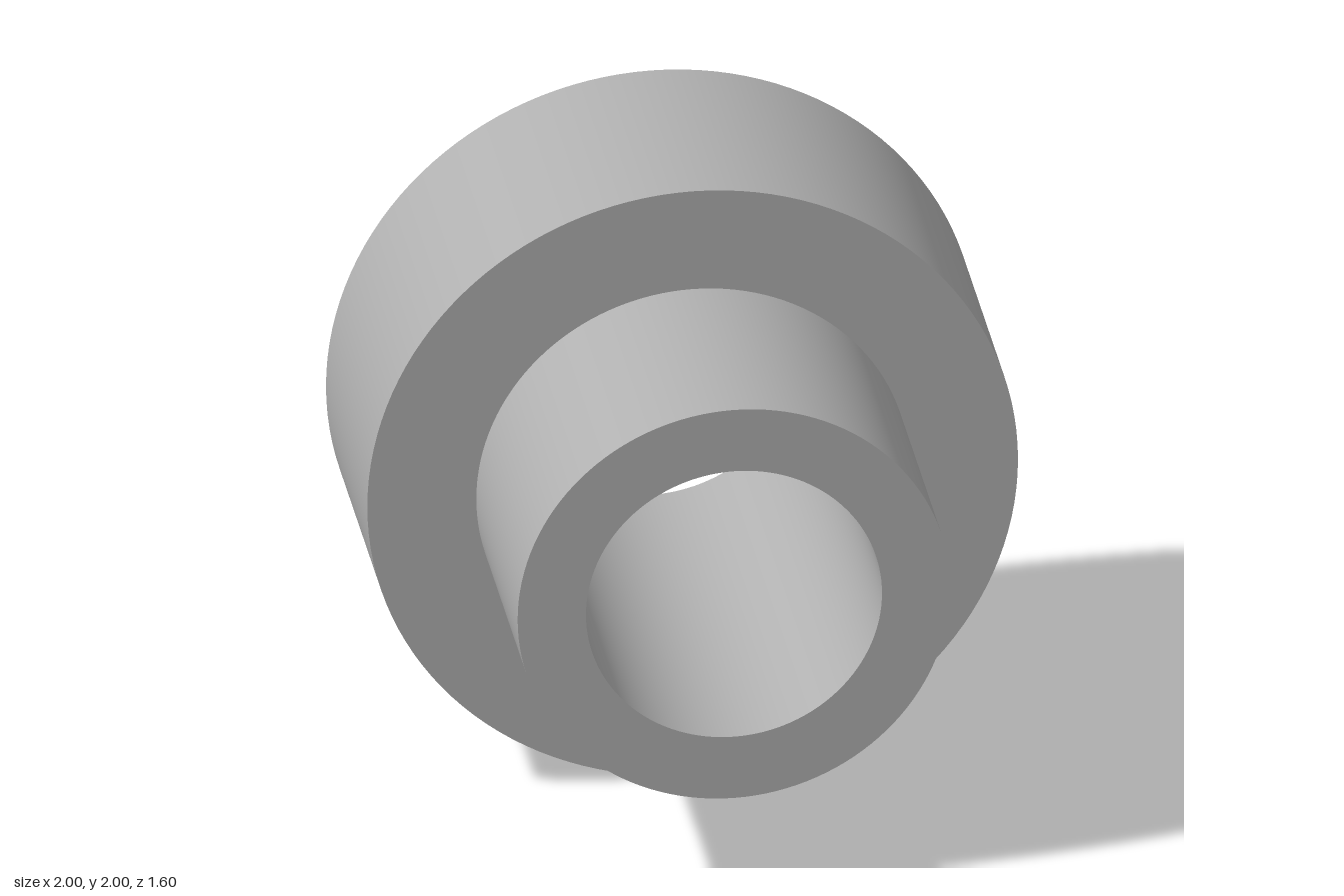
import * as THREE from 'three';
import { mergeGeometries } from 'three/addons/utils/BufferGeometryUtils.js';

const SEGMENTS = 128;
const OUTER = 1, SLEEVE = 0.665, BORE = 0.455, HALF = 0.8;

// Revolves a profile of [radius, z] points around z, keeping every corner sharp.
function revolve(profile) {
  const strips = [];
  for (let i = 0; i < profile.length - 1; i++) {
    const points = [profile[i], profile[i + 1]].map(([r, z]) => new THREE.Vector2(r, z));
    strips.push(new THREE.LatheGeometry(points, SEGMENTS));
  }
  return mergeGeometries(strips).rotateX(Math.PI / 2);
}

export function createModel() {
  const group = new THREE.Group();
  group.name = 'flangedBushing';

  const steel = new THREE.MeshStandardMaterial({ color: 0xb0b0b0 });
  steel.name = 'grey';

  const addPart = (name, profile) => {
    const mesh = new THREE.Mesh(revolve(profile), steel);
    mesh.name = name;
    mesh.position.y = OUTER;
    group.add(mesh);
  };

  // Wide rear collar: back face, rim and front shoulder
  addPart('collar', [[BORE, -HALF], [OUTER, -HALF], [OUTER, 0], [SLEEVE, 0]]);
  // Narrow front sleeve: wall and end face
  addPart('sleeve', [[SLEEVE, 0], [SLEEVE, HALF], [BORE, HALF]]);
  // Through hole, facing the axis
  addPart('bore', [[BORE, HALF], [BORE, -HALF]]);

  return group;
}
